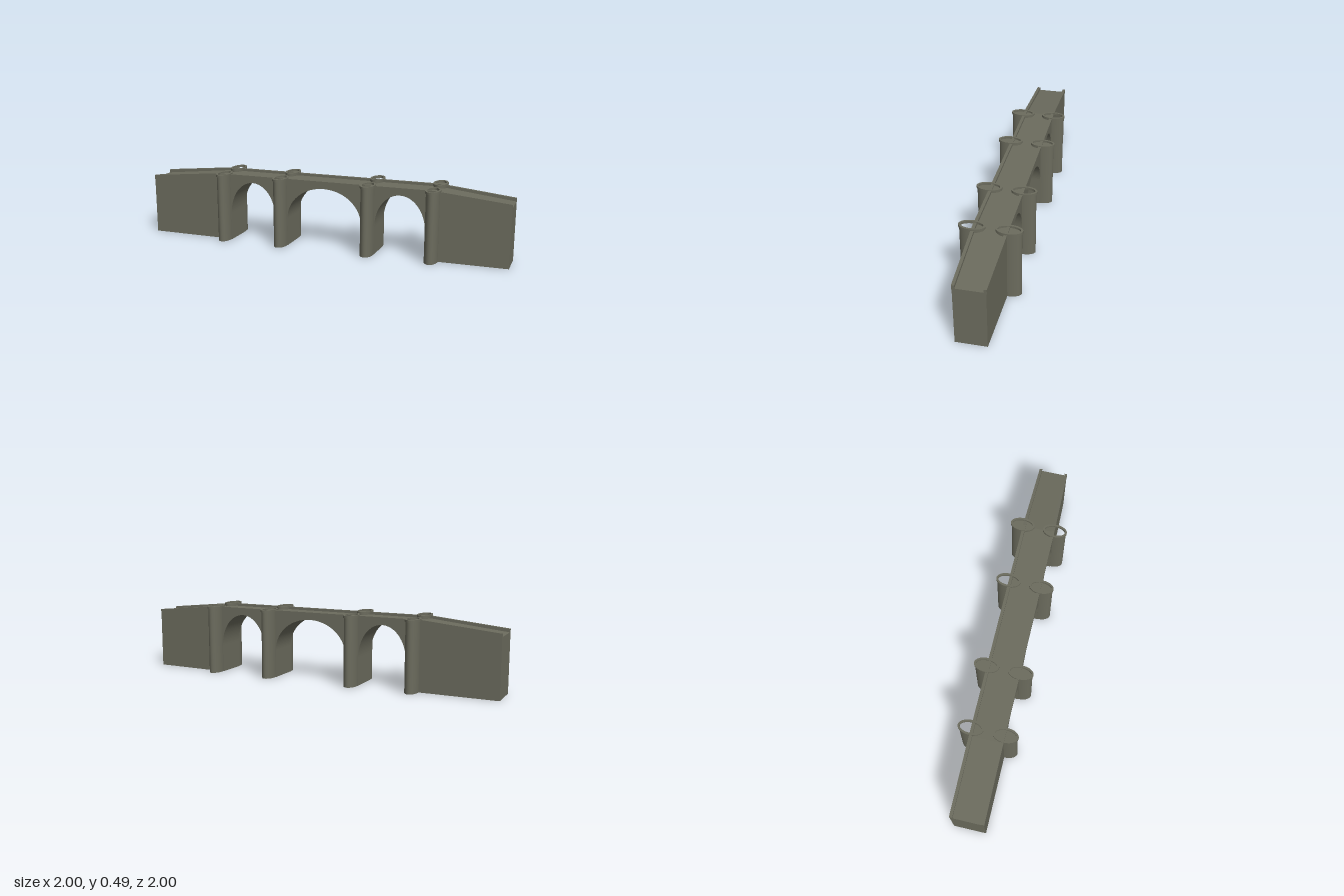
import * as THREE from 'three';

const stone = new THREE.MeshStandardMaterial({ color: 0x6b6b5d });
stone.name = 'weatheredStone';

const START = -1.3, END = 1.31;          // ends along the bridge
const KINK_A = -0.77, KINK_B = 0.8;      // where the deck starts to slope down
const PIERS = [-0.72, -0.283, 0.354, 0.8];
const PIER_HALF = 0.048, SPRING = 0.2, CROWN = 0.43;

// The far approach narrows slightly past the last pier.
function taper(geometry) {
  const p = geometry.attributes.position;
  for (let i = 0; i < p.count; i++) {
    const t = Math.max(0, (p.getX(i) - KINK_B) / (END - KINK_B));
    p.setZ(i, p.getZ(i) * (1 - 0.1 * t));
  }
  geometry.computeVertexNormals();
  return geometry;
}

function extrudeAcross(shape, z0, z1) {
  const g = new THREE.ExtrudeGeometry(shape, { depth: z1 - z0, bevelEnabled: false, curveSegments: 32 });
  return taper(g.translate(0, 0, z0));
}

// Side profile: abutments, pier walls and three arched openings.
function bodyShape() {
  const s = new THREE.Shape();
  s.moveTo(START, 0);
  for (let i = 0; i < 3; i++) {
    const a = PIERS[i] + PIER_HALF, b = PIERS[i + 1] - PIER_HALF;
    s.lineTo(a, 0);
    s.lineTo(a, SPRING);
    s.absellipse((a + b) / 2, SPRING, (b - a) / 2, CROWN - SPRING, Math.PI, 0, true);
    s.lineTo(b, 0);
  }
  s.lineTo(KINK_B, 0);
  s.lineTo(END, 0);
  s.lineTo(END, 0.408);
  s.lineTo(KINK_B, 0.465);
  s.lineTo(KINK_A, 0.465);
  s.lineTo(START, 0.408);
  s.closePath();
  return s;
}

// Low curb following the deck.
function curbShape() {
  return new THREE.Shape([
    [START, 0.4], [KINK_A, 0.457], [KINK_B, 0.457], [END, 0.4],
    [END, 0.43], [KINK_B, 0.482], [KINK_A, 0.482], [START, 0.43],
  ].map(([x, y]) => new THREE.Vector2(x, y)));
}

// Oval buttress column with a raised rim; some are left hollow on top.
function buttress(u, side, hollow) {
  const group = new THREE.Group();
  group.name = 'buttress';
  const add = (name, geometry) => {
    const m = new THREE.Mesh(geometry, stone);
    m.name = name;
    group.add(m);
  };
  add('column', new THREE.CylinderGeometry(1, 1, 0.472, 32, 1, true).scale(0.045, 1, 0.08).translate(0, 0.236, 0));
  add('columnBase', new THREE.CircleGeometry(1, 32).rotateX(Math.PI / 2).scale(0.045, 1, 0.08));
  const rim = new THREE.Shape();
  rim.absellipse(0, 0, 0.05, 0.086, 0, Math.PI * 2);
  const hole = new THREE.Path();
  hole.absellipse(0, 0, 0.036, 0.072, 0, Math.PI * 2);
  rim.holes.push(hole);
  const rimGeometry = new THREE.ExtrudeGeometry(rim, { depth: 0.016, bevelEnabled: false, curveSegments: 32 });
  add('rim', rimGeometry.rotateX(-Math.PI / 2).translate(0, 0.472, 0));
  if (!hollow) {
    add('columnTop', new THREE.CircleGeometry(1, 32).rotateX(-Math.PI / 2).scale(0.045, 1, 0.08).translate(0, 0.474, 0));
  }
  group.position.set(u, 0, side * 0.117);
  return group;
}

export function createModel() {
  const model = new THREE.Group();
  model.name = 'archedBridge';
  const bridge = new THREE.Group();
  bridge.name = 'bridge';
  bridge.rotation.y = -Math.PI / 4;      // runs diagonally
  model.add(bridge);

  const body = new THREE.Mesh(extrudeAcross(bodyShape(), -0.112, 0.112), stone);
  body.name = 'archesAndDeck';
  bridge.add(body);

  for (const side of [-1, 1]) {
    const z = side > 0 ? [0.094, 0.115] : [-0.115, -0.094];
    const curb = new THREE.Mesh(extrudeAcross(curbShape(), ...z), stone);
    curb.name = 'curb';
    bridge.add(curb);
  }

  // Column pairs beside each pier: hollow flags for the -z and +z columns.
  const hollow = [[true, false], [false, false], [true, false], [false, true]];
  PIERS.forEach((u, i) => {
    bridge.add(buttress(u, -1, hollow[i][0]), buttress(u, 1, hollow[i][1]));
  });
  return model;
}
